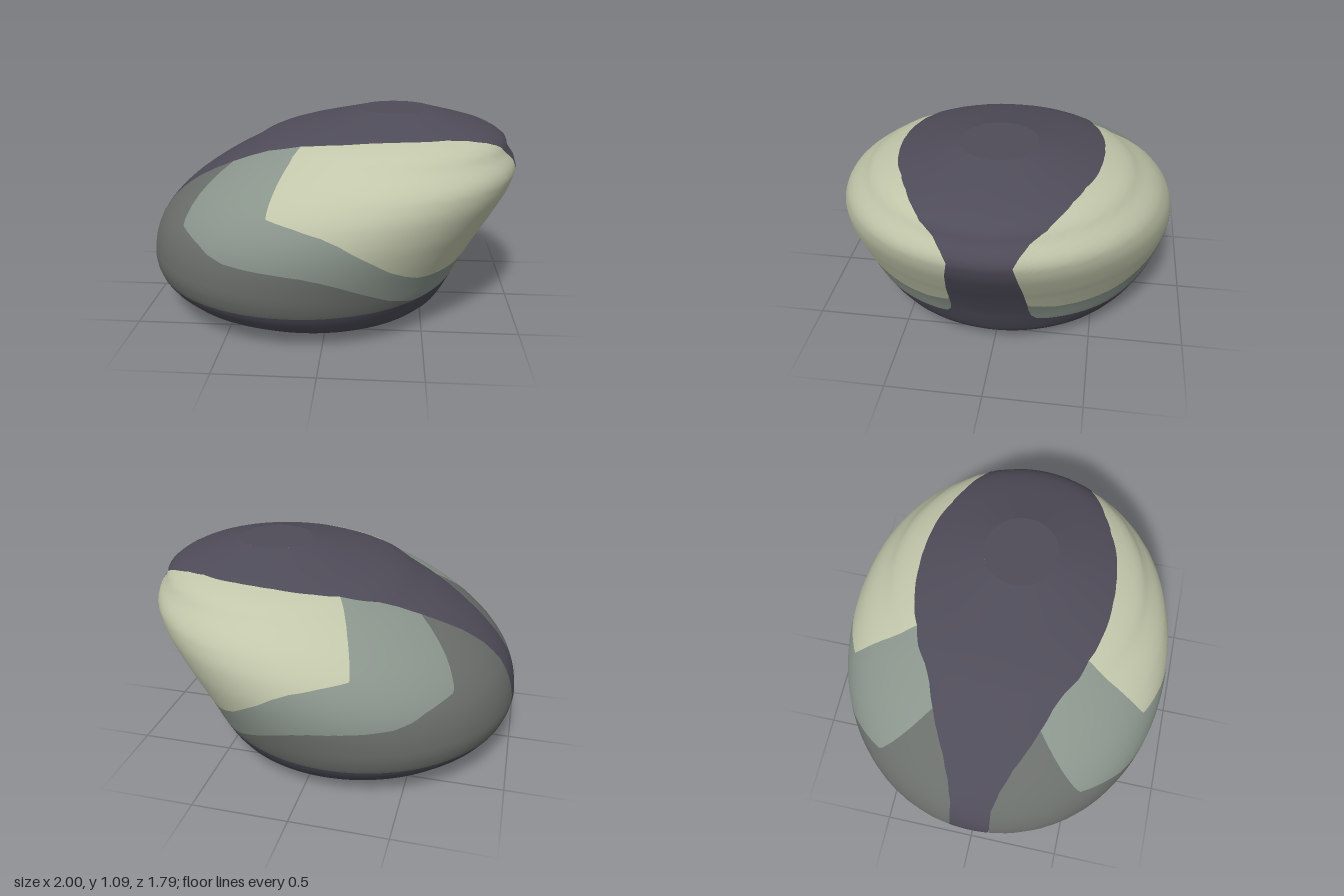
import * as THREE from 'three';

// Circular cross-sections of the leaning shell: [height, centre x, radius]
const SECTIONS = [
  [0, -0.085, 0.478], [0.03, -0.082, 0.58], [0.06, -0.1, 0.682], [0.1, -0.125, 0.748],
  [0.15, -0.141, 0.793], [0.2, -0.147, 0.825], [0.25, -0.144, 0.847], [0.3, -0.137, 0.863],
  [0.35, -0.121, 0.874], [0.4, -0.102, 0.884], [0.45, -0.079, 0.891], [0.5, -0.053, 0.895],
  [0.55, -0.02, 0.895], [0.6, 0.015, 0.89], [0.65, 0.055, 0.88], [0.7, 0.098, 0.865],
  [0.75, 0.143, 0.84], [0.8, 0.188, 0.808], [0.85, 0.224, 0.757], [0.9, 0.255, 0.69],
  [0.94, 0.282, 0.655], [0.97, 0.3, 0.6], [1, 0.322, 0.52], [1.03, 0.333, 0.41],
  [1.06, 0.34, 0.29], [1.085, 0.345, 0.195],
];
const TOP = 1.085;

// Colour borders: [angle from +x in degrees, height], mirrored in z
const BASE_EDGE = [
  [10.6, 0.8], [11.2, 0.7], [12, 0.55], [12.4, 0.45], [13, 0.35], [13.8, 0.29], [16, 0.25],
  [20, 0.235], [31, 0.22], [45, 0.208], [60, 0.205], [165, 0.205], [169, 0.225],
  [171.5, 0.27], [172.7, 0.33], [173, 0.55],
];
const MIDDLE_EDGE = [
  [12, 0.2], [31, 0.21], [45, 0.214], [56, 0.262], [63, 0.308], [70.6, 0.353], [77, 0.39],
  [83.5, 0.42], [90, 0.441], [98, 0.453], [107, 0.46], [116.6, 0.47], [123, 0.493], [129, 0.524],
  [136, 0.55], [142, 0.568], [143.5, 0.59], [151.2, 0.72], [158.6, 0.84], [159, 1.05],
];
const PALE_EDGE = [
  [12, 0.42], [14, 0.398], [21.5, 0.364], [29, 0.354], [37.8, 0.353], [43, 0.358], [48.9, 0.37],
  [55, 0.4], [62.4, 0.444], [70, 0.502], [78, 0.556], [85, 0.604], [92.3, 0.64], [103, 0.672],
  [113.5, 0.695], [115, 0.715], [123.8, 0.845], [133, 0.965], [134, 1.05],
];
const CAP_EDGE = [
  [10.6, 0.8], [13.5, 0.85], [18, 0.893], [23.4, 0.928], [28, 0.95], [33.8, 0.969], [45, 0.99],
  [58, 1.002], [81.5, 1.004], [93, 1.002], [103.5, 0.997], [122.3, 0.978], [133, 0.963],
  [147.2, 0.918], [153, 0.885], [158.6, 0.838], [163, 0.79], [167.5, 0.73], [171, 0.65], [173, 0.55],
];

// Linear lookup in a sorted table, clamped at both ends
function lookup(table, t, col = 1) {
  if (t <= table[0][0]) return table[0][col];
  for (let i = 1; i < table.length; i++) {
    const a = table[i - 1], b = table[i];
    if (t <= b[0]) return a[col] + (b[col] - a[col]) * (t - a[0]) / (b[0] - a[0]);
  }
  return table[table.length - 1][col];
}

// Ordered border heights at one angle, from the ground to the top
function borders(angle) {
  const a = Math.abs(angle);
  const base = lookup(BASE_EDGE, a);
  const cap = Math.max(base, lookup(CAP_EDGE, a));
  const middle = THREE.MathUtils.clamp(lookup(MIDDLE_EDGE, a), base, cap);
  const pale = THREE.MathUtils.clamp(lookup(PALE_EDGE, a), middle, cap);
  return [0, base, middle, pale, cap, TOP];
}

// Angles around the shell: even steps plus every border knot
function shellAngles() {
  const set = new Set();
  for (let a = 0; a <= 180; a += 2) set.add(a);
  for (const edge of [BASE_EDGE, MIDDLE_EDGE, PALE_EDGE, CAP_EDGE]) edge.forEach(k => set.add(k[0]));
  const half = [...set].sort((p, q) => p - q);
  return [...half.slice(1).reverse().map(a => -a), ...half];
}

// Slope of the section table at a height, for smooth normals
function slope(y, col) {
  const lo = Math.max(0, y - 0.03), hi = Math.min(TOP, y + 0.03);
  return (lookup(SECTIONS, hi, col) - lookup(SECTIONS, lo, col)) / (hi - lo);
}

// One colour band of the shell, between border number band and the next
function bandGeometry(band, angles, rows) {
  const positions = [], normals = [], index = [];
  const limits = angles.map(borders);
  angles.forEach((angle, i) => {
    const t = THREE.MathUtils.degToRad(angle), c = Math.cos(t), s = Math.sin(t);
    for (let j = 0; j <= rows; j++) {
      const y = THREE.MathUtils.lerp(limits[i][band], limits[i][band + 1], j / rows);
      const r = lookup(SECTIONS, y, 2);
      positions.push(lookup(SECTIONS, y, 1) + r * c, y, r * s);
      const n = new THREE.Vector3(c, -(slope(y, 2) + slope(y, 1) * c), s).normalize();
      normals.push(n.x, n.y, n.z);
    }
  });
  const height = i => limits[i][band + 1] - limits[i][band];
  for (let i = 0; i < angles.length - 1; i++) {
    if (height(i) < 1e-5 && height(i + 1) < 1e-5) continue;
    for (let j = 0; j < rows; j++) {
      const a = i * (rows + 1) + j, b = a + rows + 1;
      if (height(i) > 1e-5) index.push(a, a + 1, b);
      if (height(i + 1) > 1e-5) index.push(a + 1, b + 1, b);
    }
  }
  const g = new THREE.BufferGeometry();
  g.setAttribute('position', new THREE.Float32BufferAttribute(positions, 3));
  g.setAttribute('normal', new THREE.Float32BufferAttribute(normals, 3));
  g.setIndex(index);
  return g;
}

function material(name, color) {
  const m = new THREE.MeshStandardMaterial({ color, side: THREE.DoubleSide });
  m.name = name;
  return m;
}

export function createModel() {
  const model = new THREE.Group();
  model.name = 'shell';
  const dark = material('dark purple', 0x4f4c59);
  const grey = material('dark grey', 0x6b6f6b);
  const sage = material('sage grey', 0x8a958c);
  const cream = material('pale green', 0xc2c7ab);

  const add = (name, geometry, mat) => {
    const mesh = new THREE.Mesh(geometry, mat);
    mesh.name = name;
    model.add(mesh);
    return mesh;
  };

  // Painted bands of the shell, from the open base upward
  const angles = shellAngles();
  const bands = [
    ['base', dark], ['lowerSides', grey], ['middleSides', sage], ['paleSides', cream], ['topAndStripes', dark],
  ];
  bands.forEach(([name, mat], i) => add(name, bandGeometry(i, angles, 24), mat));

  // Flat disc closing the top
  const [, x, r] = SECTIONS[SECTIONS.length - 1];
  const disc = add('topDisc', new THREE.CircleGeometry(r, 96).rotateX(-Math.PI / 2), dark);
  disc.position.set(x, TOP, 0);
  return model;
}
